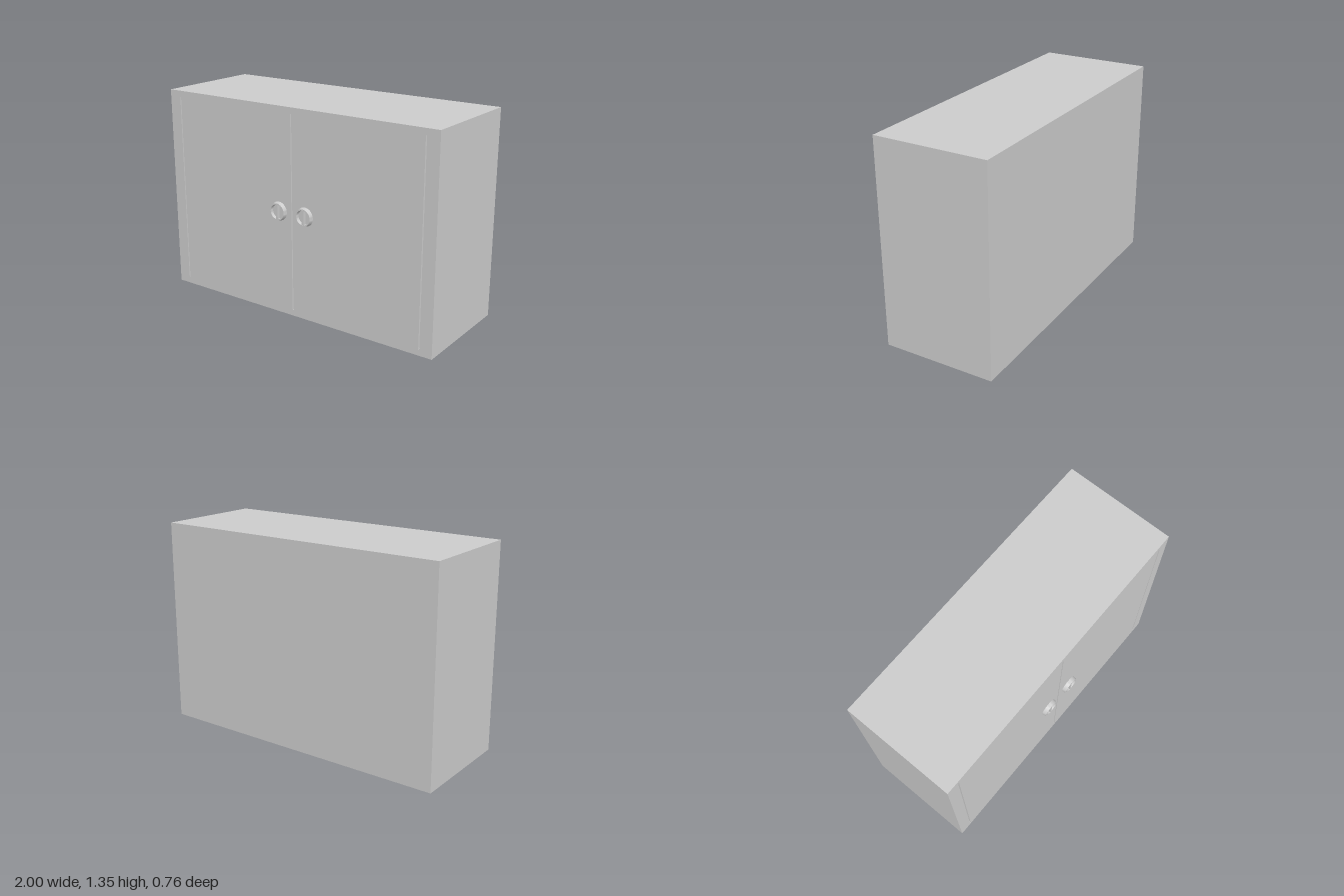
import * as THREE from 'three';
import { toCreasedNormals } from 'three/addons/utils/BufferGeometryUtils.js';

const H = 1.35, BACK = -0.38, FRONT = 0.355;
const OPEN = { x: 0.917, bottom: 0.04, top: 1.31 };
const SEAM = -0.006; // x of the gap between the doors
const GAP = 0.007;

const material = new THREE.MeshStandardMaterial({ color: 0xcccccc });

function mesh(name, geometry, x = 0, y = 0, z = 0) {
  const m = new THREE.Mesh(geometry, material);
  m.name = name;
  m.position.set(x, y, z);
  return m;
}

function rectangle(path, x0, y0, x1, y1) {
  path.moveTo(x0, y0);
  path.lineTo(x1, y0);
  path.lineTo(x1, y1);
  path.lineTo(x0, y1);
  path.closePath();
  return path;
}

// Round dished knob with a vertical grip bar across the recess
function knob(name, x) {
  const group = new THREE.Group();
  group.name = name;
  group.position.set(x, 0.685, FRONT);
  const profile = [[0.061, 0], [0.055, 0.025], [0.047, 0.025], [0.044, 0.005], [0, 0.005]]
    .map(([r, h]) => new THREE.Vector2(r, h));
  const dish = new THREE.LatheGeometry(profile, 40).rotateX(Math.PI / 2);
  group.add(mesh('knobDish', toCreasedNormals(dish, 0.5)));
  group.add(mesh('knobGrip', new THREE.BoxGeometry(0.015, 0.093, 0.02), 0, 0, 0.014));
  return group;
}

export function createModel() {
  const cabinet = new THREE.Group();
  cabinet.name = 'cabinet';

  // Carcass: sides, top and bottom around a front opening
  const outline = rectangle(new THREE.Shape(), -1, 0, 1, H);
  outline.holes.push(rectangle(new THREE.Path(), -OPEN.x, OPEN.bottom, OPEN.x, OPEN.top));
  const shell = new THREE.ExtrudeGeometry(outline, { depth: FRONT - BACK, bevelEnabled: false });
  cabinet.add(mesh('carcass', shell, 0, 0, BACK));

  // Back panel closing the carcass
  const openH = OPEN.top - OPEN.bottom, midY = (OPEN.top + OPEN.bottom) / 2;
  cabinet.add(mesh('backPanel', new THREE.BoxGeometry(OPEN.x * 2, openH, 0.03), 0, midY, BACK + 0.015));

  // Flush doors, with slits at the hinges and between them
  const doors = [
    ['rightDoor', -OPEN.x + GAP, SEAM - GAP / 2],
    ['leftDoor', SEAM + GAP / 2, OPEN.x - GAP],
  ];
  for (const [name, x0, x1] of doors) {
    const panel = new THREE.BoxGeometry(x1 - x0, openH, 0.04);
    cabinet.add(mesh(name, panel, (x0 + x1) / 2, midY, FRONT - 0.02));
  }

  cabinet.add(knob('rightKnob', -0.106), knob('leftKnob', 0.094));
  return cabinet;
}
